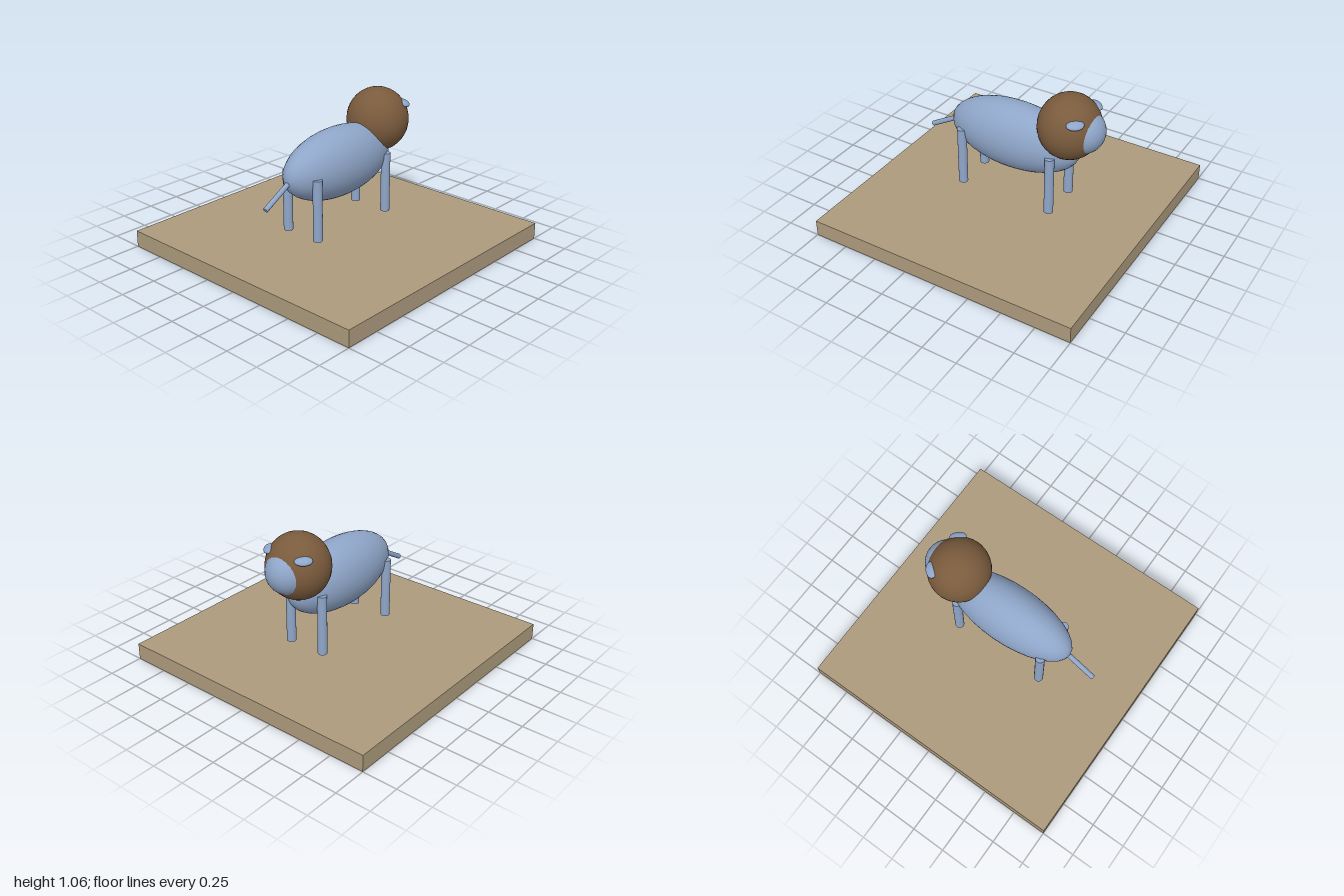
import * as THREE from 'three';

const mat = (name, color) => {
  const m = new THREE.MeshStandardMaterial({ color });
  m.name = name;
  return m;
};

export function createModel() {
  const fur = mat('blue grey fur', 0x8fa6c9);
  const maneBrown = mat('mane brown', 0x7a5b3d);
  const tan = mat('tan base', 0xac9a7c);
  const model = new THREE.Group();

  const add = (name, geometry, material, x, y, z) => {
    const mesh = new THREE.Mesh(geometry, material);
    mesh.name = name;
    mesh.position.set(x, y, z);
    model.add(mesh);
    return mesh;
  };
  const ellipsoid = (rx, ry, rz) => new THREE.SphereGeometry(1, 32, 20).scale(rx, ry, rz);

  // Square slab below the animal
  add('base', new THREE.BoxGeometry(2, 0.12, 2), tan, 0, 0.06, 0);

  // Body, mane and the face showing through the mane
  add('body', ellipsoid(0.5, 0.248, 0.2), fur, 0, 0.622, 0);
  add('mane', ellipsoid(0.219, 0.23, 0.223), maneBrown, 0.42, 0.828, 0);
  add('face', ellipsoid(0.155, 0.155, 0.155), fur, 0.517, 0.822, 0);

  for (const side of [1, -1]) {
    // Flat ears lying along the mane, tipped outward
    const ear = add(side > 0 ? 'rightEar' : 'leftEar',
      ellipsoid(0.06, 0.022, 0.04).rotateX(0.35 * side), fur, 0.535, 0.947, 0.147 * side);
    ear.rotation.y = side * Math.PI / 4;

    // Straight legs
    for (const end of [1, -1]) {
      add(end > 0 ? 'frontLeg' : 'hindLeg',
        new THREE.CylinderGeometry(0.033, 0.033, 0.44, 24), fur, 0.35 * end, 0.402, 0.14 * side);
    }
  }

  // Tail slanting down behind the body
  const start = new THREE.Vector3(-0.44, 0.622, 0);
  const tip = new THREE.Vector3(-0.695, 0.475, 0);
  const along = tip.clone().sub(start);
  const tail = add('tail', new THREE.CylinderGeometry(0.018, 0.018, along.length(), 16), fur, 0, 0, 0);
  tail.position.copy(start).add(tip).multiplyScalar(0.5);
  tail.quaternion.setFromUnitVectors(new THREE.Vector3(0, 1, 0), along.normalize());

  return model;
}
